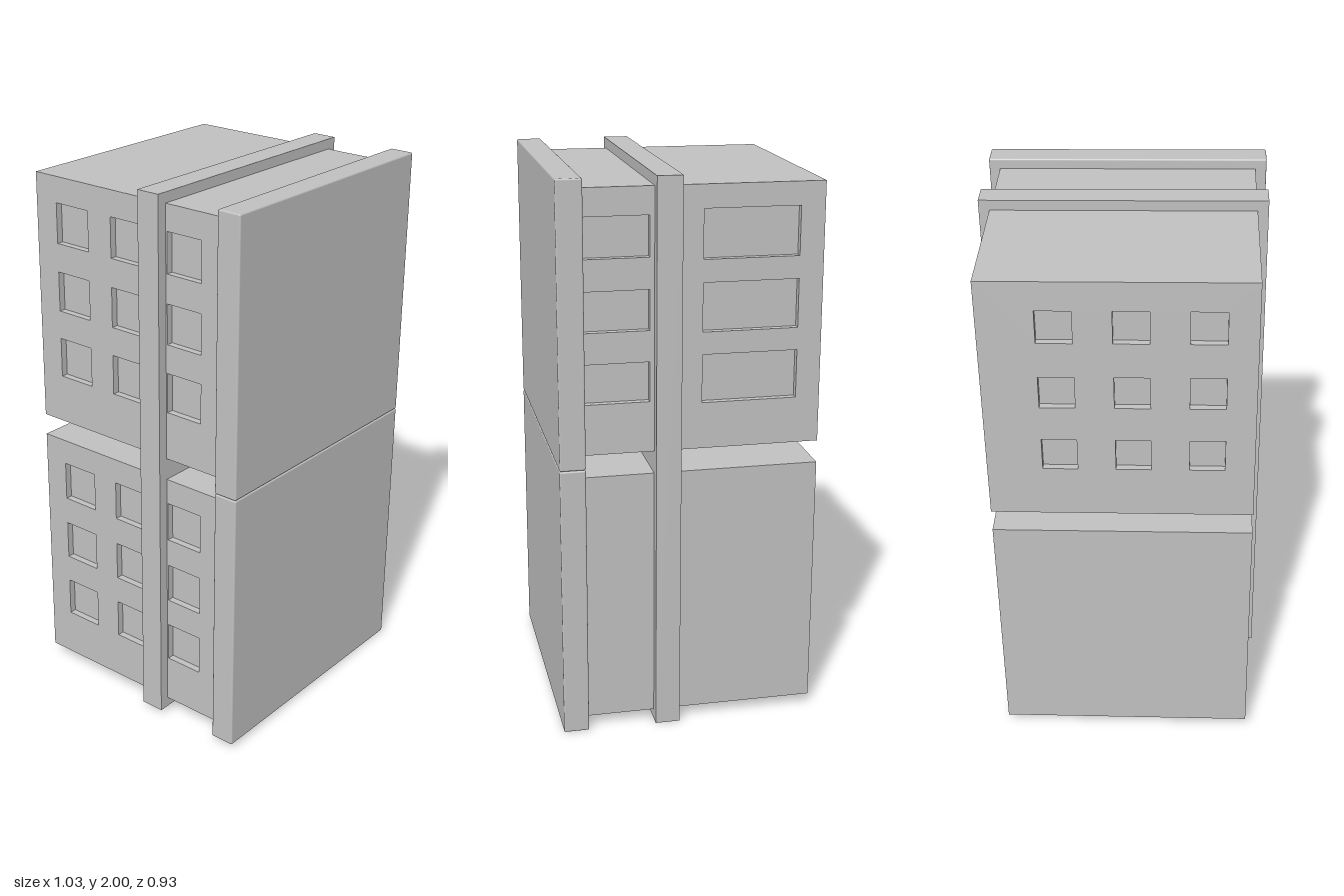
import * as THREE from 'three';
import { RoundedBoxGeometry } from 'three/addons/geometries/RoundedBoxGeometry.js';

const HALF = 0.456;              // block half width
const BACK = -0.462, FRONT = 0.37;
const HEIGHT = 0.913;            // block height
const DEPTH = 0.025;             // window recess
const ROWS = [0.747, 0.498, 0.249]; // window centres above the block's base

export function createModel() {
  const grey = new THREE.MeshStandardMaterial({ color: 0xc0c0c0 });
  grey.name = 'plain grey';

  const model = new THREE.Group();
  model.name = 'stackedBlocks';
  // the whole stack leans slightly
  const body = new THREE.Group();
  body.name = 'leaningBody';
  body.position.y = 1;
  body.rotation.set(0, 0.0175, -0.0178);
  model.add(body);

  const add = (parent, name, geometry, x = 0, y = 0, z = 0) => {
    const mesh = new THREE.Mesh(geometry, grey);
    mesh.name = name;
    mesh.position.set(x, y, z);
    parent.add(mesh);
    return mesh;
  };

  // wall slab from u0 to u1, with a column of openings per [centre, width, height]
  const wall = (u0, u1, columns) => {
    const shape = new THREE.Shape();
    shape.moveTo(u0, 0).lineTo(u1, 0).lineTo(u1, HEIGHT).lineTo(u0, HEIGHT).closePath();
    for (const [c, w, h] of columns) {
      for (const y of ROWS) {
        const hole = new THREE.Path();
        hole.moveTo(c - w / 2, y - h / 2).lineTo(c - w / 2, y + h / 2)
          .lineTo(c + w / 2, y + h / 2).lineTo(c + w / 2, y - h / 2).closePath();
        shape.holes.push(hole);
      }
    }
    return new THREE.ExtrudeGeometry(shape, { depth: DEPTH, bevelEnabled: false });
  };

  // a cube with a solid core and recessed windows in its walls
  const block = (name, baseY, left, right, back) => {
    const group = new THREE.Group();
    group.name = name;
    group.position.y = baseY;
    const inner = BACK + DEPTH;
    add(group, 'core', new THREE.BoxGeometry(2 * (HALF - DEPTH), HEIGHT, FRONT - inner),
      0, HEIGHT / 2, (FRONT + inner) / 2);
    add(group, 'leftWall', wall(inner, FRONT, left).rotateY(-Math.PI / 2), HALF);
    add(group, 'rightWall', wall(inner, FRONT, right).rotateY(-Math.PI / 2), -HALF + DEPTH);
    add(group, 'backWall', wall(-HALF, HALF, back), 0, 0, BACK);
    body.add(group);
  };

  const wide = [[-0.211, 0.333, 0.17], [0.25, 0.224, 0.14]];
  const small = [-0.297, -0.048, 0.2].map((c) => [c, 0.145, 0.145]);
  const rear = [0.205, -0.045, -0.295].map((c) => [c, 0.12, 0.12]);
  block('upperBlock', 0.04, wide, small, rear);
  block('lowerBlock', -0.04 - HEIGHT, [], small, []);

  // tall band around the middle
  add(body, 'middleBand', new THREE.BoxGeometry(0.986, 1.98, 0.088), 0, 0, 0.078);

  // front panels with softened edges
  for (const [name, y] of [['upperFrontPanel', 0.495], ['lowerFrontPanel', -0.495]]) {
    add(body, name, new RoundedBoxGeometry(0.99, 0.989, 0.09, 3, 0.006), 0, y, 0.411);
  }
  return model;
}
